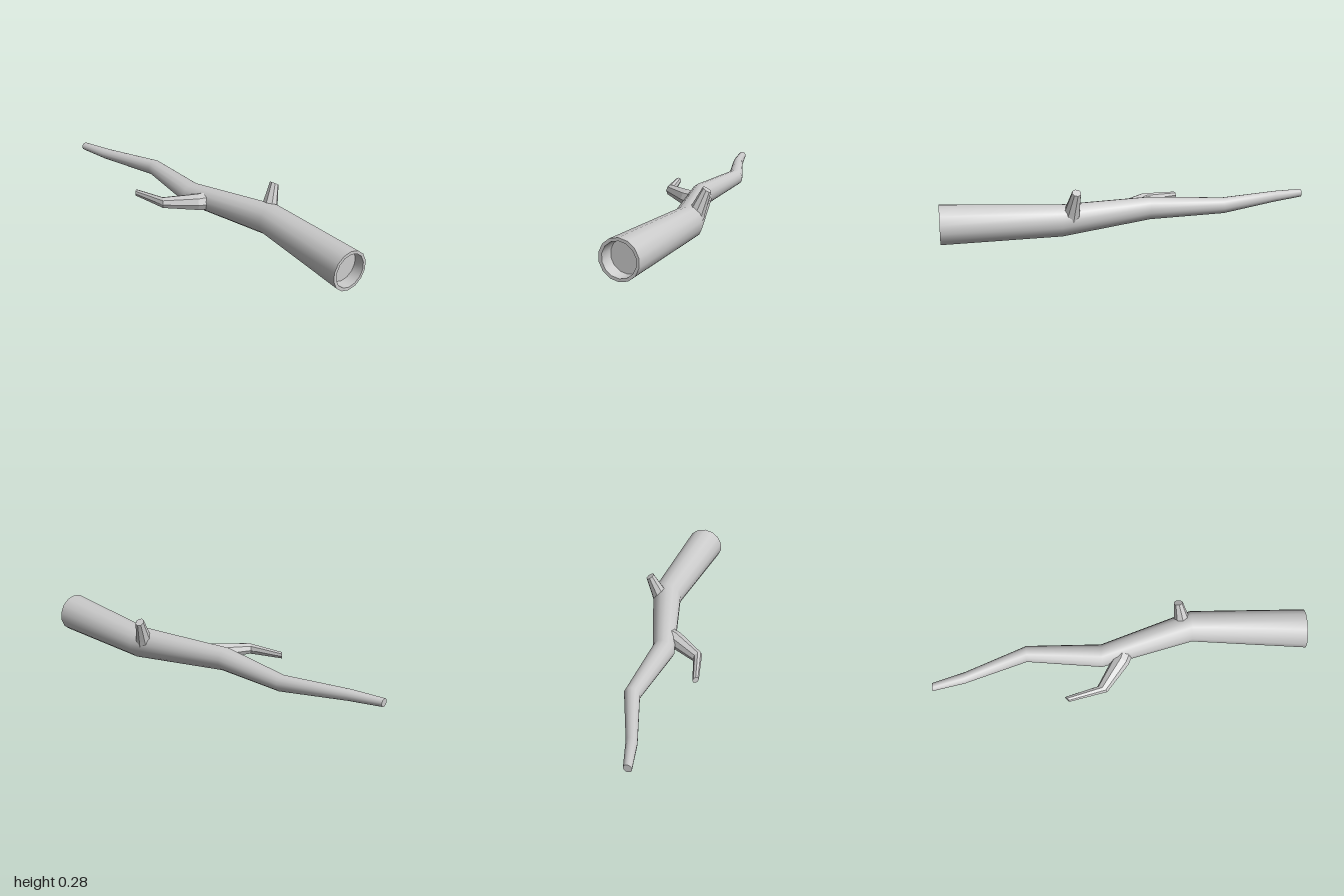
import * as THREE from 'three';

const material = new THREE.MeshStandardMaterial({ color: 0xcccccc });
const flatMaterial = new THREE.MeshStandardMaterial({ color: 0xcccccc, flatShading: true });

// Ring of points around a centre, facing along a normal
function ring([x, y, z, r], normal, sides) {
  const n = new THREE.Vector3(...normal).normalize();
  const up = new THREE.Vector3(0, 1, 0);
  up.addScaledVector(n, -up.dot(n)).normalize();
  const side = new THREE.Vector3().crossVectors(n, up);
  return Array.from({ length: sides }, (_, i) => {
    const a = (i / sides) * Math.PI * 2;
    return new THREE.Vector3(x, y, z)
      .addScaledVector(up, r * Math.cos(a))
      .addScaledVector(side, r * Math.sin(a));
  });
}

// Skin joining successive rings; the rings run along their normals
function skin(rings) {
  const n = rings[0].length;
  const index = [];
  for (let k = 0; k < rings.length - 1; k++) {
    for (let i = 0; i < n; i++) {
      const a = k * n + i, b = k * n + (i + 1) % n;
      index.push(a, b, a + n, b, b + n, a + n);
    }
  }
  const geometry = new THREE.BufferGeometry().setFromPoints(rings.flat());
  geometry.setIndex(index);
  geometry.computeVertexNormals();
  return geometry;
}

// Flat disc filling a ring, facing along the ring's normal
function cap(points) {
  const index = [];
  for (let i = 1; i < points.length - 1; i++) index.push(0, i, i + 1);
  const geometry = new THREE.BufferGeometry().setFromPoints(points);
  geometry.setIndex(index);
  geometry.computeVertexNormals();
  return geometry;
}

function add(group, name, geometry, mat = material) {
  const mesh = new THREE.Mesh(geometry, mat);
  mesh.name = name;
  group.add(mesh);
}

export function createModel() {
  const model = new THREE.Group();
  model.name = 'fallenBranch';
  const SIDES = 14;

  // Crooked main limb, thin end to thick end: x, y, z, radius
  const limb = [
    [-1, 0.11, 0.122, 0.022],
    [-0.83, 0.109, 0.08, 0.03],
    [-0.5, 0.107, -0.038, 0.043],
    [-0.1, 0.105, -0.007, 0.061],
    [0.39, 0.105, -0.15, 0.083],
    [1, 0.104, -0.105, 0.104],
  ];
  const rings = limb.map((s) => ring(s, [1, 0, 0], SIDES));
  add(model, 'limb', skin(rings));
  add(model, 'limbTip', cap([...rings[0]].reverse()));

  // Hollowed cut end: rim, inner wall and recessed wood
  const lip = ring([1, 0.104, -0.106, 0.088], [1, 0, 0], SIDES);
  const floor = ring([0.94, 0.104, -0.115, 0.085], [1, 0, 0], SIDES);
  add(model, 'cutRim', skin([rings[rings.length - 1], lip]));
  add(model, 'cutWall', skin([lip, floor]));
  add(model, 'cutWood', cap(floor));

  // Bent side twig
  const twig = [
    ring([0.015, 0.107, -0.01, 0.05], [-0.5, 0, 0.87], 8),
    ring([0, 0.107, 0.03, 0.046], [-0.5, 0, 0.87], 8),
    ring([-0.105, 0.106, 0.182, 0.03], [-0.55, 0, 0.83], 8),
    ring([-0.292, 0.107, 0.228, 0.018], [-0.75, 0, 0.66], 8),
  ];
  add(model, 'sideTwig', skin(twig), flatMaterial);
  add(model, 'sideTwigTip', cap(twig[3]), flatMaterial);

  // Broken stub on the upper back
  const axis = [-0.1, 0.8, -0.5];
  const stub = [
    ring([0.343, 0.125, -0.172, 0.048], axis, 8),
    ring([0.336, 0.165, -0.187, 0.04], axis, 8),
    ring([0.318, 0.265, -0.224, 0.024], axis, 8),
  ];
  add(model, 'stub', skin(stub), flatMaterial);
  add(model, 'stubTip', cap(stub[2]), flatMaterial);

  return model;
}
